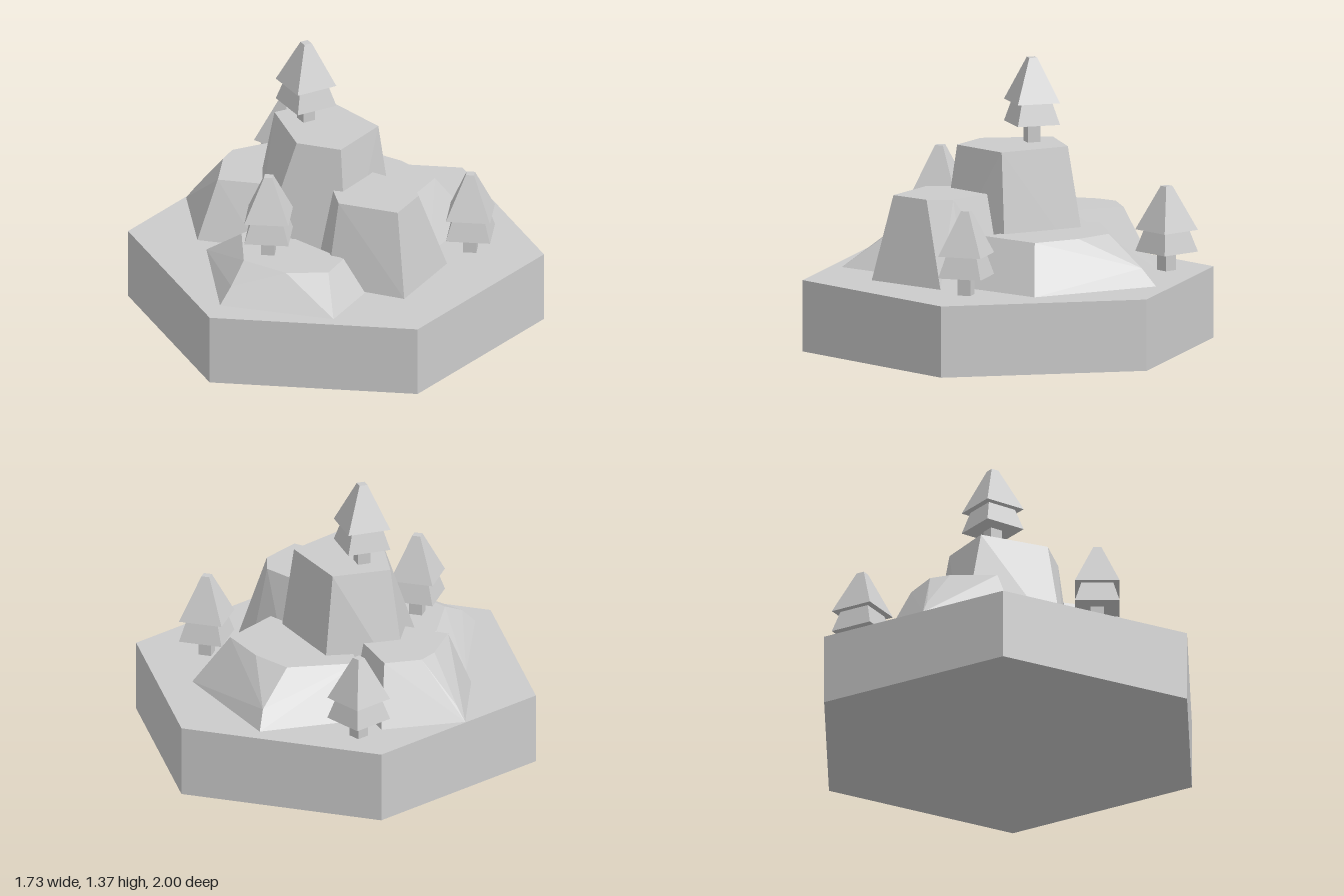
import * as THREE from 'three';
import { ConvexGeometry } from 'three/addons/geometries/ConvexGeometry.js';

const GROUND = 0.345;

function material() {
  return new THREE.MeshStandardMaterial({ color: 0xcccccc, flatShading: true });
}

function addMesh(parent, name, geometry) {
  const mesh = new THREE.Mesh(geometry, material());
  mesh.name = name;
  parent.add(mesh);
  return mesh;
}

// Faceted boulder: hull of a ground outline, a flat top outline and optional bulge points
function addRock(parent, name, top, foot, crown, bulges = []) {
  const points = [
    ...foot.map(([x, z]) => new THREE.Vector3(x, GROUND, z)),
    ...crown.map(([x, z]) => new THREE.Vector3(x, top, z)),
    ...bulges.map(([x, y, z]) => new THREE.Vector3(x, y, z)),
  ];
  addMesh(parent, name, new ConvexGeometry(points));
}

// Four-sided tree: trunk and two stacked tapered tiers
function addTree(parent, name, x, y, z, turn) {
  const tree = new THREE.Group();
  tree.name = name;
  const tiers = [
    ['trunk', 0.045, 0.045, -0.02, 0.09],
    ['lowerFoliage', 0.15, 0.108, 0.09, 0.195],
    ['upperFoliage', 0.15, 0.028, 0.195, 0.407],
  ];
  for (const [part, rBottom, rTop, y0, y1] of tiers) {
    const mesh = addMesh(tree, part, new THREE.CylinderGeometry(rTop, rBottom, y1 - y0, 4));
    mesh.position.y = (y0 + y1) / 2;
  }
  tree.position.set(x, y, z);
  tree.rotation.y = turn;
  parent.add(tree);
}

export function createModel() {
  const model = new THREE.Group();
  model.name = 'rockyHexTile';

  // Hexagonal base with corners at front and back
  const base = addMesh(model, 'base', new THREE.CylinderGeometry(1, 1, GROUND, 6));
  base.position.y = GROUND / 2;

  // Central peak and the four lower rocks around it
  addRock(model, 'centralRock', 0.963,
    [[-0.24, -0.31], [0.2, -0.21], [0.24, 0.23], [-0.17, 0.42], [-0.48, 0.03]],
    [[-0.2, -0.205], [0.155, -0.13], [0.165, 0.18], [-0.046, 0.25], [-0.33, 0.05]]);

  addRock(model, 'leftRock', 0.628,
    [[-0.656, -0.307], [-0.86, 0.048], [-0.545, 0.376], [-0.27, 0.26], [-0.27, -0.17]],
    [[-0.56, -0.2], [-0.65, -0.04], [-0.63, 0.06], [-0.515, 0.254], [-0.295, 0.15], [-0.3, -0.11]],
    [[-0.81, 0.415, 0.04]]);

  addRock(model, 'rightRock', 0.755,
    [[0.42, -0.17], [0.556, -0.143], [0.62, 0.28], [0.238, 0.386], [0.1, 0.29], [0.15, -0.18]],
    [[0.41, -0.07], [0.505, 0.015], [0.535, 0.22], [0.25, 0.31], [0.15, 0.22], [0.14, -0.05]]);

  addRock(model, 'backRock', 0.577,
    [[-0.28, -0.75], [0.36, -0.6], [0.43, -0.17], [-0.3, -0.12], [-0.53, -0.27]],
    [[-0.2, -0.5], [0.005, -0.515], [0.24, -0.465], [0.285, -0.16], [-0.25, -0.13], [-0.39, -0.22]],
    [[-0.24, 0.43, -0.693]]);

  addRock(model, 'frontRock', 0.493,
    [[-0.45, 0.43], [-0.04, 0.865], [0.48, 0.655], [0.43, 0.34], [-0.34, 0.25]],
    [[-0.24, 0.43], [-0.06, 0.65], [0.18, 0.635], [0.34, 0.51], [0.31, 0.35], [-0.22, 0.3]],
    [[-0.03, 0.42, 0.79]]);

  // Trees on the rocks and on the base
  addTree(model, 'peakTree', -0.167, 0.963, 0.016, 0.38);
  addTree(model, 'frontTree', -0.018, 0.493, 0.51, -0.24);
  addTree(model, 'rightTree', 0.556, GROUND, -0.328, -0.25);
  addTree(model, 'leftTree', -0.63, GROUND, -0.43, Math.PI / 4);

  return model;
}
